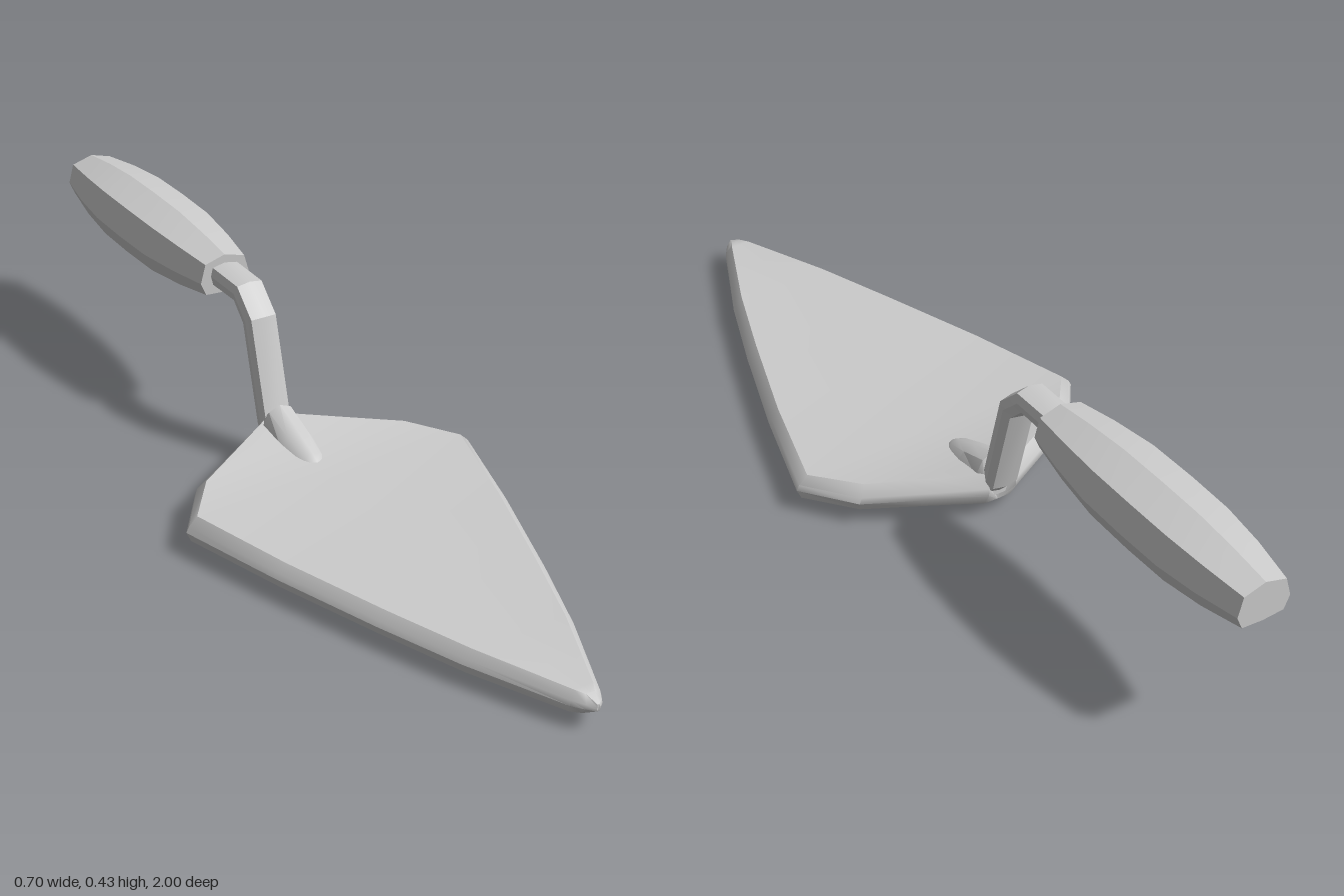
import * as THREE from 'three';
import { toCreasedNormals } from 'three/addons/utils/BufferGeometryUtils.js';

// Skin a list of equal-length rings of [x, y, z], advancing towards +z, capped at both ends
function loft(rings, crease) {
  const n = rings[0].length;
  const index = [];
  for (let i = 0; i < rings.length - 1; i++) {
    for (let j = 0; j < n; j++) {
      const a = i * n + j, b = i * n + (j + 1) % n;
      index.push(a, b, b + n, a, b + n, a + n);
    }
  }
  const last = (rings.length - 1) * n;
  for (let j = 1; j < n - 1; j++) {
    index.push(0, j + 1, j, last, last + j, last + j + 1);
  }
  const geometry = new THREE.BufferGeometry();
  geometry.setAttribute('position', new THREE.Float32BufferAttribute(rings.flat(2), 3));
  geometry.setIndex(index);
  return toCreasedNormals(geometry, crease);
}

// Complete a right half (listed bottom to top) with its mirror image
function mirrored(half) {
  const left = half.filter((p) => p[0] > 0).reverse().map(([x, ...rest]) => [-x, ...rest]);
  return [...half, ...left];
}

export function createModel() {
  const group = new THREE.Group();
  const material = new THREE.MeshStandardMaterial({ color: 0xcccccc });
  const add = (name, geometry) => {
    const mesh = new THREE.Mesh(geometry, material);
    mesh.name = name;
    group.add(mesh);
  };

  // Blade: kite outline, keeled underside and rounded rim
  // z, half width, rim inset, z shift of faces, keel y, low rim y, top rim y, top centre y
  const bladeSections = [
    [-0.17, 0.034, 0.006, 0.018, 0.035, 0.036, 0.111, 0.112],
    [-0.103, 0.15, 0.012, 0.018, 0.024, 0.033, 0.101, 0.098],
    [-0.035, 0.265, 0.02, 0.014, 0.014, 0.03, 0.091, 0.085],
    [0.08, 0.349, 0.026, 0, 0.007, 0.029, 0.083, 0.076],
    [0.32, 0.28, 0.024, 0, 0.002, 0.028, 0.079, 0.073],
    [0.56, 0.2, 0.024, 0, 0, 0.027, 0.076, 0.072],
    [0.75, 0.13, 0.022, 0, 0.002, 0.026, 0.075, 0.071],
    [0.96, 0.036, 0.014, -0.008, 0.024, 0.027, 0.073, 0.072],
    [0.985, 0.02, 0.01, -0.012, 0.029, 0.031, 0.071, 0.071],
    [1.0, 0.004, 0.002, -0.002, 0.044, 0.045, 0.06, 0.06],
  ];
  add('blade', loft(bladeSections.map(([z, w, inset, dz, keel, low, top, centre]) => mirrored([
    [0, keel, z + dz],
    [w - inset * 0.4, low, z + dz],
    [w, low + (top - low) * 0.42, z],
    [w - inset * 0.25, low + (top - low) * 0.65, z],
    [w - inset, top, z + dz],
    [0, centre, z + dz],
  ])), 0.78));

  // Tang: tapering ridge joining the shank to the blade
  const tangSections = [
    [-0.16, 0.038, 0.12],
    [-0.135, 0.045, 0.147],
    [-0.06, 0.042, 0.118],
    [0.0, 0.031, 0.094],
    [0.018, 0.022, 0.083],
    [0.026, 0.01, 0.076],
  ];
  add('tang', loft(tangSections.map(([z, w, y]) => mirrored([
    [0, 0.055, z],
    [w * 0.9, 0.055, z],
    [w, 0.055 + (y - 0.055) * 0.5, z],
    [w * 0.6, 0.055 + (y - 0.055) * 0.88, z],
    [0, y, z],
  ])), 0.7));

  // Shank: bent bar swept from the handle down to the blade
  const path = [[0.365, -0.4], [0.365, -0.267], [0.318, -0.218], [0.1, -0.16], [0.07, -0.13]]
    .map(([y, z]) => new THREE.Vector3(0, y, z));
  const bar = mirrored([[0, -0.026], [0.03, -0.021], [0.035, 0], [0.03, 0.02], [0, 0.026]]);
  const xAxis = new THREE.Vector3(1, 0, 0);
  add('shank', loft(path.map((p, i) => {
    const into = p.clone().sub(path[Math.max(i - 1, 0)]).normalize();
    const out = path[Math.min(i + 1, path.length - 1)].clone().sub(p).normalize();
    const up = into.add(out).normalize().cross(xAxis);
    return bar.map(([x, h]) => [x, p.y + up.y * h, p.z + up.z * h]);
  }), 0.45));

  // Handle: faceted grip, slimmer at both ends
  const grip = mirrored([[0, -0.067], [0.072, -0.062], [0.091, -0.018], [0.073, 0.047], [0, 0.068]]);
  const gripSections = [[-1, 0.66], [-0.9, 0.86], [-0.8, 0.98], [-0.69, 1], [-0.57, 0.98], [-0.46, 0.84], [-0.365, 0.66]];
  add('handle', loft(gripSections.map(([z, s]) =>
    grip.map(([x, y]) => [x * s, 0.365 + y * s, z])), 0.25));

  return group;
}
